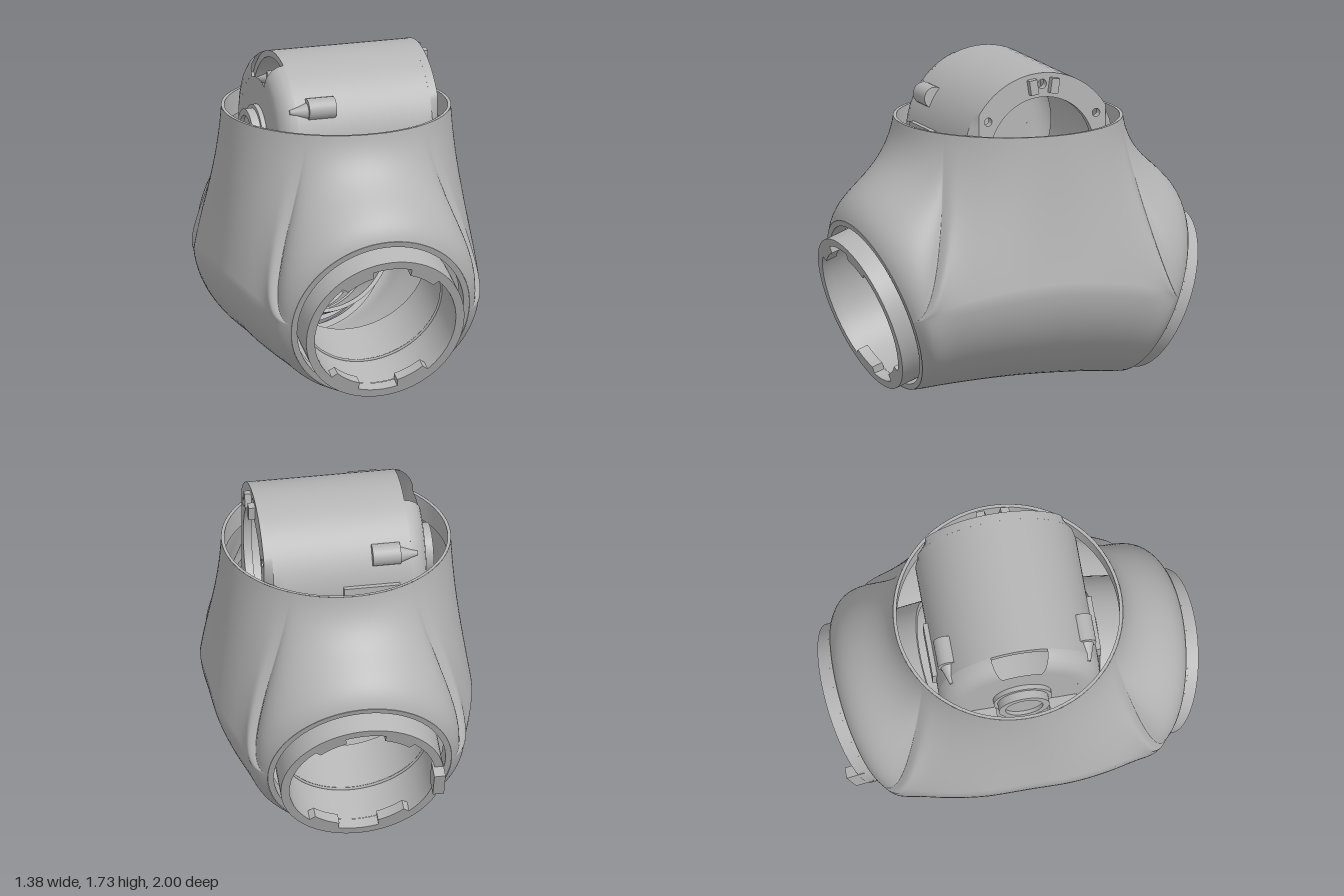
import * as THREE from 'three';
import { mergeVertices, toCreasedNormals } from 'three/addons/utils/BufferGeometryUtils.js';

const V2 = (x, y) => new THREE.Vector2(x, y);
const V3 = (x, y, z) => new THREE.Vector3(x, y, z);
const grey = new THREE.MeshStandardMaterial({ color: 0xb4b4b4, side: THREE.DoubleSide });
grey.name = 'plain grey';

function add(parent, name, geometry, x = 0, y = 0, z = 0) {
  const mesh = new THREE.Mesh(geometry, grey);
  mesh.name = name;
  mesh.position.set(x, y, z);
  parent.add(mesh);
  return mesh;
}

const lathe = (pts, start = 0, length = Math.PI * 2) =>
  toCreasedNormals(new THREE.LatheGeometry(pts.map(p => V2(...p)), 72, start, length), 0.6);

// flat ring or plate with holes, pushed along +z
function plate(outer, holes, depth) {
  const shape = new THREE.Shape();
  shape.absarc(0, 0, outer, 0, Math.PI * 2);
  shape.holes = holes;
  return toCreasedNormals(
    new THREE.ExtrudeGeometry(shape, { depth, bevelEnabled: false, curveSegments: 72 }), 0.5);
}
const circle = (x, y, r) => new THREE.Path().absarc(x, y, r, 0, Math.PI * 2, true);

// Shell: a lower hull swept between the ports, an upper part drawn in to the round neck
function shellGeometry() {
  const pos = [], idx = [];
  function grid(rows) {
    const base = pos.length / 3, n = rows[0].length;
    rows.forEach(row => row.forEach(p => pos.push(p.x, p.y, p.z)));
    for (let i = 0; i < rows.length - 1; i++) {
      for (let j = 0; j < n - 1; j++) {
        const a = base + i * n + j, b = a + n;
        idx.push(a, b, a + 1, b, b + 1, a + 1);
      }
    }
  }
  // widest line, half of it mirrored: (share of the way to the port, half width)
  const half = [[1, 0.49], [0.93, 0.555], [0.78, 0.595], [0.55, 0.65], [0.3, 0.685]];
  const belt = new THREE.SplineCurve([
    ...half.map(([s, x]) => V2(-s, x)), V2(0, 0.69),
    ...half.slice().reverse().map(([s, x]) => V2(s, x))]).getPoints(80);
  const hull = ({ x: s, y: w }, a) => {
    const yb = 0.62 - 0.15 * s * s, bottom = 0.045 - 0.035 * s * s;
    const slim = 1 - 0.035 * Math.sin(2 * a) * (1 - s * s);
    return V3(w * Math.cos(a) * (a < Math.PI / 2 ? slim : 2 - slim), yb - (yb - bottom) * Math.sin(a),
      s * (0.765 - 0.165 * Math.sin(a)));
  };
  grid(belt.map(b => Array.from({ length: 49 }, (_, j) => hull(b, j / 48 * Math.PI))));

  // lower edge of the upper part, each point with the handle its curve arrives from
  const shoulder = (c, a, zs) => V3(c.x + 0.172 * Math.cos(a), c.y + 0.162 * Math.sin(a) + 0.038,
    c.z + zs * (0.059 * Math.sin(a) - 0.104));
  const edge = [];
  for (const b of belt) {
    const c = hull(b, 0), r = Math.hypot(c.x, c.z);
    const side = V3(c.x * (1 - 0.045 / r), c.y + 0.28, c.z * (1 - 0.045 / r));
    const w = Math.max(0, (Math.abs(b.x) - 0.6) / 0.4) ** 2;
    edge.push({ c, handle: side.lerp(shoulder(c, 0, Math.sign(b.x)), w) });
  }
  for (let j = 1; j < 40; j++) {
    const a = j / 40 * Math.PI;
    const c = V3(0.49 * Math.cos(a), 0.47 + 0.46 * Math.sin(a), 0.765 + 0.165 * Math.sin(a));
    edge.push({ c, handle: shoulder(c, a, 1) });
  }
  const flip = p => V3(-p.x, p.y, -p.z);
  edge.push(...edge.map(({ c, handle }) => ({ c: flip(c), handle: flip(handle) })));
  edge.push(edge[0]);
  grid(edge.map(({ c, handle }) => {
    const r = Math.hypot(c.x, c.z), dx = c.x / r, dz = c.z / r;
    const neck = (q, y) => V3(dx * q, y, dz * q);
    return new THREE.CubicBezierCurve3(neck(0.605, 1.43), neck(0.613 + 0.03 * Math.abs(dz), 1.15),
      handle, c).getPoints(28);
  }));
  let g = new THREE.BufferGeometry();
  g.setAttribute('position', new THREE.Float32BufferAttribute(pos, 3));
  g.setIndex(idx);
  g = mergeVertices(g, 1e-4);
  g.computeVertexNormals();
  return g;
}

// Tilted port; local +z points out of the opening
function makePort(name) {
  const port = new THREE.Group();
  port.name = name;
  const tilt = new THREE.Group();
  tilt.position.set(0, 0.43, 0.85);
  tilt.rotation.x = 0.352;
  port.add(tilt);

  add(tilt, 'portRim', plate(0.489, [circle(0, 0, 0.457)], 0.09), 0, 0.008, -0.184);

  // bayonet face: four teeth, a pair beside the top and a pair beside the bottom
  const inner = [];
  const arc = (r, from, to) => {
    for (let k = 0; k <= 12; k++) {
      const a = THREE.MathUtils.degToRad(from + (to - from) * k / 12);
      inner.push(V2(r * Math.cos(a), r * Math.sin(a)));
    }
  };
  for (const turn of [0, 180]) {
    arc(0.388, turn - 47, turn + 47);
    arc(0.352, turn + 48, turn + 73);
    arc(0.39, turn + 74, turn + 106);
    arc(0.352, turn + 107, turn + 132);
  }
  add(tilt, 'bayonetRing', plate(0.434, [new THREE.Path(inner)], 0.06), 0, 0, -0.06);

  // sleeve running into the shell
  const sleeve = lathe([[0.434, -0.06], [0.434, -0.2], [0.41, -0.2], [0.41, -0.55],
    [0.388, -0.55], [0.388, -0.06]]);
  add(tilt, 'portSleeve', sleeve).rotation.x = Math.PI / 2;
  add(tilt, 'sleeveRib', new THREE.TorusGeometry(0.386, 0.008, 6, 72), 0, 0, -0.26);
  return { port, tilt };
}

// Trims a part of the motor so that its corners stay inside the round neck
function trim(geometry, across, along, offset = 0) {
  const p = geometry.attributes.position;
  for (let i = 0; i < p.count; i++) {
    const x = p.getComponent(i, along) + offset;
    const limit = Math.sqrt(0.575 ** 2 - x * x);
    p.setComponent(i, across, THREE.MathUtils.clamp(p.getComponent(i, across), -limit, limit));
  }
  return toCreasedNormals(geometry, 0.6);
}

function makeMotor() {
  const motor = new THREE.Group();
  motor.name = 'motorHousing';
  motor.position.y = 1.31;
  const turned = (name, g) => { add(motor, name, g).rotation.z = -Math.PI / 2; };

  turned('housingBarrel', trim(lathe([[0.395, -0.34], [0.43, -0.34], [0.43, 0.34], [0.43, 0.37],
    [0.43, 0.4], [0.395, 0.4], [0.395, -0.34]]), 2, 1));
  turned('endCap', lathe([[0, -0.43], [0.3, -0.43]]));
  // rounded shoulder, left open at the top as a window
  turned('endShoulder', lathe([[0.3, -0.43], [0.34, -0.43], [0.373, -0.42], [0.404, -0.398],
    [0.423, -0.37], [0.43, -0.34]], Math.PI * 1.5 + 0.36, Math.PI * 2 - 0.72));
  turned('shaftBoss', lathe([[0.155, -0.43], [0.155, -0.455], [0.135, -0.455], [0.135, -0.5],
    [0.1, -0.5], [0.1, -0.48], [0, -0.48]]));

  // open end flange with screw holes
  const holes = [circle(0, 0, 0.3), circle(0, 0.37, 0.025), circle(0.31, 0.19, 0.022), circle(-0.31, 0.19, 0.022)];
  add(motor, 'endFlange', trim(plate(0.43, holes, 0.045), 0, 2, 0.4), 0.4).rotation.y = Math.PI / 2;

  for (const side of [-1, 1]) {
    const clip = add(motor, 'flangeClip', new THREE.BoxGeometry(0.04, 0.08, 0.045), 0.46, 0.36, side * 0.06);
    clip.rotation.x = side * 0.15;
    // screw lugs with a tapered tail
    const lug = add(motor, 'screwLug', new THREE.CylinderGeometry(0.058, 0.058, 0.15, 24), -0.205, 0.215, side * 0.365);
    lug.rotation.z = Math.PI / 2;
    const tail = add(motor, 'lugTail', new THREE.CylinderGeometry(0.045, 0.012, 0.1, 20), -0.325, 0.205, side * 0.365);
    tail.rotation.z = -Math.PI / 2;
    add(motor, 'sidePad', new THREE.BoxGeometry(0.3, 0.1, 0.03), -0.12, 0.02, side * 0.435);
  }
  return motor;
}

export function createModel() {
  const model = new THREE.Group();
  model.name = 'jointHousing';

  add(model, 'shell', shellGeometry());
  add(model, 'neckRim', lathe([[0.605, 1.43], [0.588, 1.43], [0.588, 1.3]]));

  const front = makePort('frontPort');
  const back = makePort('backPort');
  back.port.rotation.y = Math.PI;
  model.add(front.port, back.port);

  // locking clip on the back port
  add(back.tilt, 'lockClip', new THREE.BoxGeometry(0.06, 0.15, 0.1), 0.4, 0, 0.015);

  model.add(makeMotor());
  // brackets holding the motor in the shell
  for (const side of [-1, 1]) {
    add(model, 'motorBracket', new THREE.BoxGeometry(0.1, 0.2, 0.15), -0.48, 1.1, side * 0.215);
  }
  return model;
}
